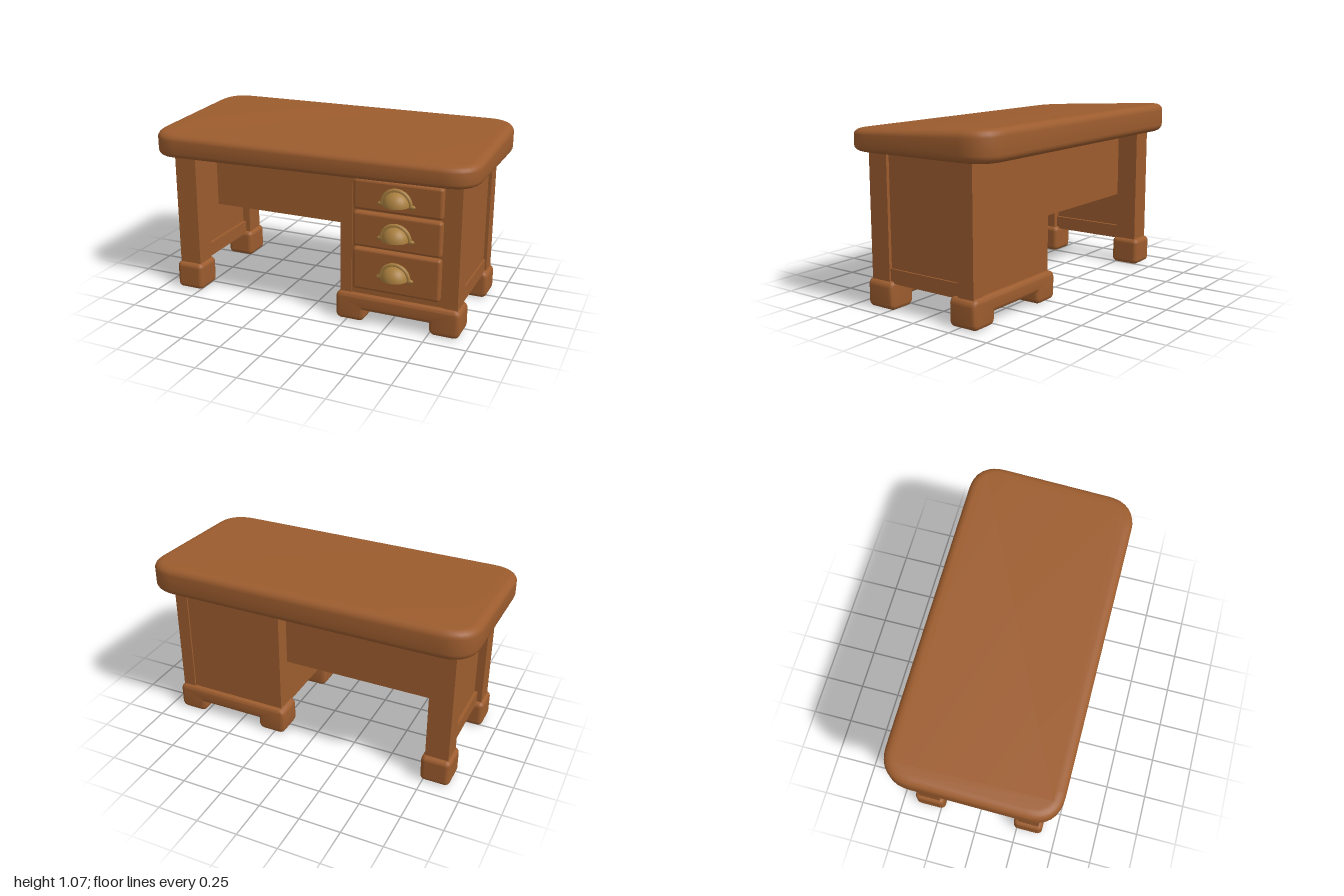
import * as THREE from 'three';
import { toCreasedNormals } from 'three/addons/utils/BufferGeometryUtils.js';
import { RoundedBoxGeometry } from 'three/addons/geometries/RoundedBoxGeometry.js';

const wood = new THREE.MeshStandardMaterial({ color: 0x9c5c2e });
wood.name = 'wood';
const brass = new THREE.MeshStandardMaterial({ color: 0xa87e3e, side: THREE.DoubleSide });
brass.name = 'brass';

function add(group, name, geometry, material = wood) {
  const mesh = new THREE.Mesh(geometry, material);
  mesh.name = name;
  group.add(mesh);
  return mesh;
}

// Box given by its limits; r > 0 rounds the edges
function block(group, name, x0, x1, y0, y1, z0, z1, r = 0) {
  const size = [x1 - x0, y1 - y0, z1 - z0];
  const geo = r ? new RoundedBoxGeometry(...size, 3, r) : new THREE.BoxGeometry(...size);
  const mesh = add(group, name, geo);
  mesh.position.set((x0 + x1) / 2, (y0 + y1) / 2, (z0 + z1) / 2);
  return mesh;
}

// Polygon whose corners are rounded by r
function roundedShape(points, r) {
  const pts = points.map(([x, y]) => new THREE.Vector2(x, y));
  const shape = new THREE.Shape();
  pts.forEach((p, i) => {
    const prev = pts[(i + pts.length - 1) % pts.length];
    const next = pts[(i + 1) % pts.length];
    const a = p.clone().add(prev.clone().sub(p).setLength(r));
    const b = p.clone().add(next.clone().sub(p).setLength(r));
    if (i === 0) shape.moveTo(a.x, a.y);
    else shape.lineTo(a.x, a.y);
    shape.quadraticCurveTo(p.x, p.y, b.x, b.y);
  });
  shape.closePath();
  return shape;
}

function softExtrude(shape, depth, bevel) {
  return new THREE.ExtrudeGeometry(shape, {
    depth, bevelThickness: bevel, bevelSize: bevel, bevelSegments: 5, curveSegments: 8,
  });
}

// Thick top that rises to the back and sags at the front right corner
function desktopGeometry() {
  const outline = roundedShape([[-0.95, -0.45], [0.95, -0.45], [0.95, 0.45], [-0.95, 0.45]], 0.13);
  const geo = softExtrude(outline, 0.1, 0.05).rotateX(-Math.PI / 2);
  const p = geo.attributes.position;
  for (let i = 0; i < p.count; i++) {
    const x = p.getX(i), z = p.getZ(i);
    const t = (p.getY(i) + 0.05) / 0.2;
    const bottom = 0.893 - 0.06 * Math.max(0, -x) * Math.max(0, z);
    const top = 1.045 - 0.058 * z;
    p.setY(i, bottom + (top - bottom) * t);
  }
  return toCreasedNormals(geo, 0.7);
}

// Cup pull: arched rim, end tabs and a quarter dome
function makeHandle() {
  const handle = new THREE.Group();
  const dome = new THREE.SphereGeometry(1, 20, 10, 0, Math.PI, 0, Math.PI / 2);
  add(handle, 'handleCup', dome.scale(0.078, 0.078, 0.074), brass).position.z = 0.426;
  const rim = add(handle, 'handleRim', new THREE.TorusGeometry(0.083, 0.012, 8, 24, Math.PI), brass);
  rim.position.z = 0.424;
  for (const s of [-1, 1]) {
    const tab = add(handle, 'handleTab', new THREE.SphereGeometry(1, 12, 8), brass);
    tab.scale.set(0.022, 0.013, 0.01);
    tab.position.set(s * 0.088, 0, 0.424);
  }
  return handle;
}

export function createModel() {
  const desk = new THREE.Group();
  desk.name = 'desk';
  add(desk, 'desktop', desktopGeometry());

  // Open side: two legs on block feet, joined by a panel and a low rail
  for (const [z0, z1] of [[0.255, 0.385], [-0.385, -0.25]]) {
    block(desk, 'leg', -0.89, -0.75, 0.1, 0.92, z0, z1);
    block(desk, 'foot', -0.91, -0.73, 0, 0.17, z0 - 0.028, z1 + 0.025, 0.03);
  }
  block(desk, 'sidePanel', -0.84, -0.8, 0.16, 0.92, -0.26, 0.26);
  block(desk, 'sideRail', -0.86, -0.78, 0.155, 0.24, -0.26, 0.26);

  // Deep apron across the knee space
  block(desk, 'apron', -0.81, 0.22, 0.46, 0.92, -0.24, 0.06);

  // Drawer pedestal with corner posts and side rail
  block(desk, 'pedestal', 0.21, 0.89, 0.155, 0.92, -0.335, 0.38);
  for (const [z0, z1] of [[0.255, 0.386], [-0.345, -0.24]]) {
    block(desk, 'cornerPost', 0.83, 0.91, 0.15, 0.92, z0, z1);
  }
  block(desk, 'innerStile', 0.205, 0.275, 0.15, 0.92, 0.3, 0.386);
  block(desk, 'pedestalRail', 0.8, 0.9, 0.155, 0.24, -0.25, 0.26);

  // Plinths with a notch that leaves two feet
  const plinth = roundedShape([
    [0.205, 0.025], [0.335, 0.025], [0.335, 0.095], [0.775, 0.095],
    [0.775, 0.025], [0.905, 0.025], [0.905, 0.145], [0.205, 0.145],
  ], 0.015);
  for (const [name, z0, z1] of [['frontPlinth', 0.225, 0.41], ['backPlinth', -0.367, -0.19]]) {
    const geo = toCreasedNormals(softExtrude(plinth, z1 - z0 - 0.05, 0.025), 0.7);
    add(desk, name, geo).position.z = z0 + 0.025;
  }

  // Drawers and pulls
  for (const [y0, y1, handleY] of [[0.692, 0.872, 0.75], [0.472, 0.68, 0.548], [0.21, 0.462, 0.315]]) {
    block(desk, 'drawerFront', 0.29, 0.81, y0, y1, 0.355, 0.415, 0.018);
    const handle = makeHandle();
    handle.name = 'drawerHandle';
    handle.position.set(0.55, handleY, 0);
    desk.add(handle);
  }
  return desk;
}
